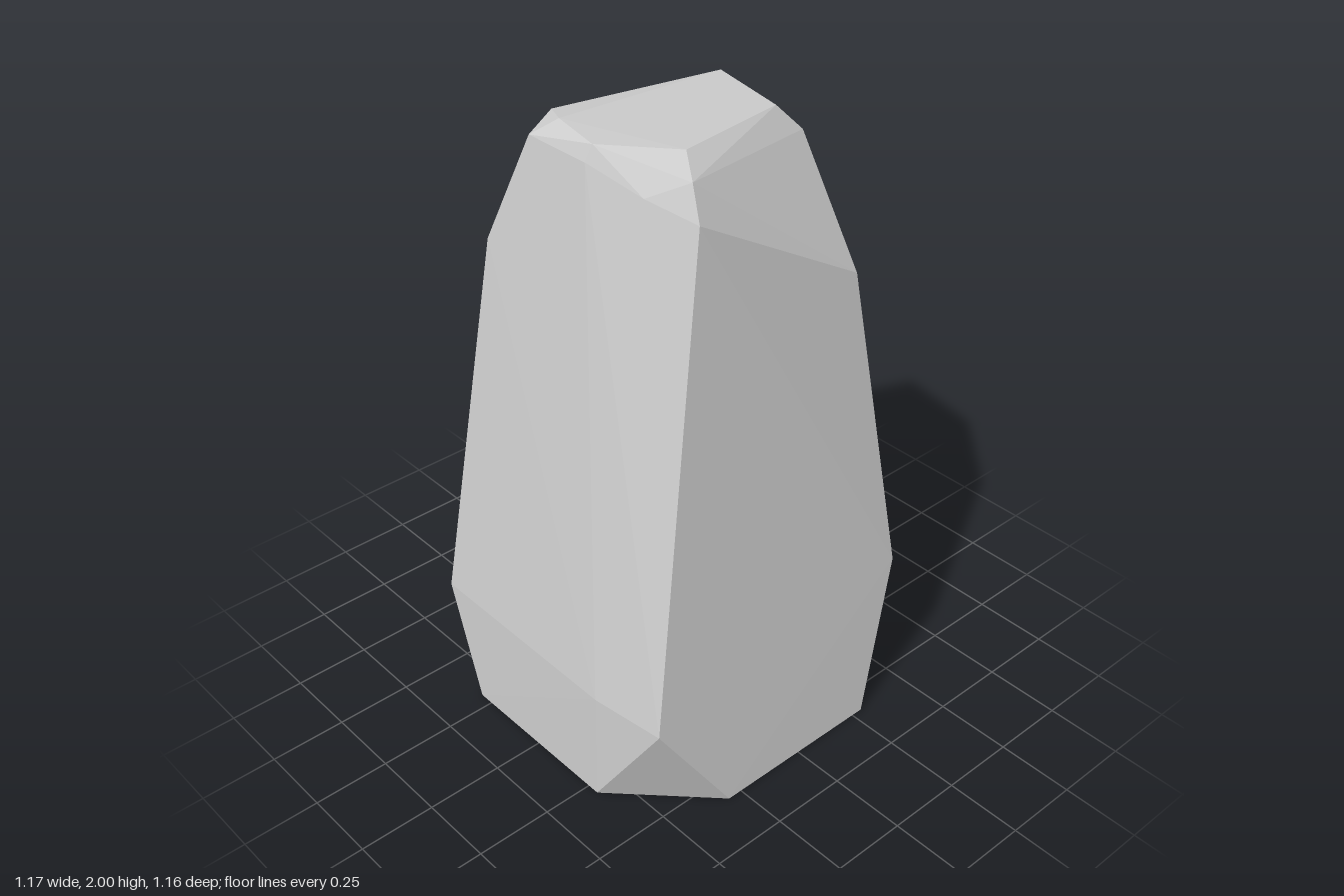
import * as THREE from 'three';
import { ConvexGeometry } from 'three/addons/geometries/ConvexGeometry.js';

// Corner points of the chiselled stone, grouped by the region they shape
const base = [
  [0.29, 0, 0.58], [-0.3, 0, 0.58], [-0.585, 0, 0.29], [-0.585, 0, -0.3],
  [0.35, 0, -0.58], [0.585, 0, 0.36], [0.585, 0.09, -0.08],
];
const frontLeftBevel = [
  [0.46, 0.5, 0.52], [0.52, 0.5, 0.45],
  [0.34, 1.42, 0.39], [0.40, 1.43, 0.33],
  [0.36, 1.51, 0.38], [0.39, 1.52, 0.30],
];
const frontRightBevel = [
  [-0.54, 0.37, 0.53], [-0.58, 0.38, 0.29], [-0.23, 1.85, 0.35],
  [-0.30, 1.9, 0.21],
];
const backRightBevel = [
  [-0.46, 0.44, -0.54], [-0.57, 0.37, -0.45], [-0.53, 0.47, -0.47],
  [-0.34, 1.6, -0.41], [-0.40, 1.6, -0.36],
];
const backLeftBevel = [
  [0.46, 0.37, -0.55], [0.54, 0.37, -0.48],
  [0.40, 0.9, -0.48], [0.46, 0.9, -0.42],
  [0.32, 1.6, -0.40], [0.38, 1.6, -0.33],
];
const crown = [
  [-0.21, 1.95, 0.30], [-0.16, 2, 0.22], [0.27, 1.97, 0.12], [0.34, 1.89, 0.16],
  [0.34, 1.965, -0.18], [-0.18, 1.91, -0.35], [-0.22, 1.975, -0.27],
  [-0.28, 2, -0.16], [-0.32, 2, 0.03], [-0.34, 1.95, -0.22], [-0.34, 1.95, 0.02],
];

export function createModel() {
  const group = new THREE.Group();
  group.name = 'standingStone';

  // Flat facets wrapped around all the corners
  const points = [base, frontLeftBevel, frontRightBevel, backRightBevel, backLeftBevel, crown]
    .flat()
    .map((p) => new THREE.Vector3(...p));
  const stone = new THREE.Mesh(
    new ConvexGeometry(points),
    new THREE.MeshStandardMaterial({ color: 0xcccccc, flatShading: true }),
  );
  stone.name = 'rock';
  group.add(stone);
  return group;
}
